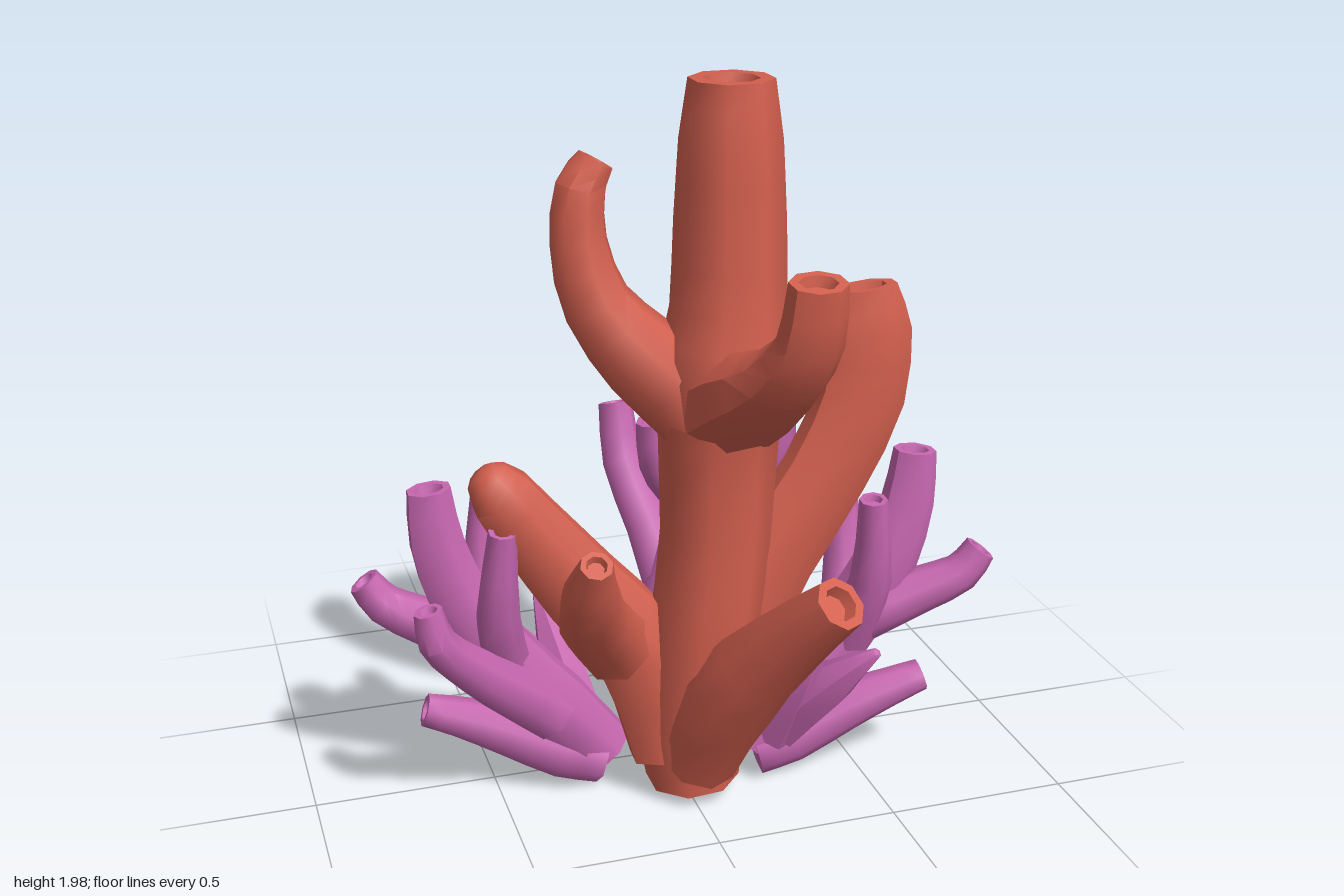
import * as THREE from 'three';
import { toCreasedNormals } from 'three/addons/utils/BufferGeometryUtils.js';

const mat = (color) => new THREE.MeshStandardMaterial({ color });
const red = mat(0xd25f4e), purple = mat(0xc767b0), green = mat(0x5a796d);

// Tapered, curved tube through points [x, y, z, radius].
// side: width factor across the bend; hollow: sunken pit in the tip.
function branch(name, pts, material, { side = 1, sides = 8, hollow = true, steps = 2 } = {}) {
  const curve = new THREE.CatmullRomCurve3(pts.map(([x, y, z]) => new THREE.Vector3(x, y, z)));
  const n = (pts.length - 1) * steps;
  const first = curve.getPoint(0), last = curve.getPoint(1);
  const across = new THREE.Vector3(first.z - last.z, 0, last.x - first.x);
  if (across.length() < 0.13) across.set(0, 0, 1);
  across.normalize();

  // Rings: closed base, body, then the tip
  const rings = [];
  for (let i = 0; i <= n; i++) {
    const k = Math.min(Math.floor(i / steps), pts.length - 2);
    rings.push({
      c: curve.getPoint(i / n), t: curve.getTangent(i / n),
      r: THREE.MathUtils.lerp(pts[k][3], pts[k + 1][3], i / steps - k),
    });
  }
  const end = rings[n];
  const tip = (r, push) => rings.push({ c: end.c.clone().addScaledVector(end.t, push), t: end.t, r });
  if (hollow) {
    tip(end.r * 0.66, 0);
    tip(end.r * 0.52, -end.r * 0.45);
    tip(0, -end.r * 0.45);
  } else {
    tip(end.r * 0.6, end.r * 0.35);
    tip(0, end.r * 0.45);
  }
  rings.unshift({ ...rings[0], r: 0 });

  const pos = [], index = [];
  for (const { c, t, r } of rings) {
    const v = across.clone().addScaledVector(t, -across.dot(t)).normalize();
    const u = v.clone().cross(t);
    for (let j = 0; j < sides; j++) {
      const a = ((j + 0.5) / sides) * Math.PI * 2;
      const p = c.clone().addScaledVector(u, r * Math.cos(a)).addScaledVector(v, r * side * Math.sin(a));
      pos.push(p.x, p.y, p.z);
    }
  }
  for (let i = 0; i < rings.length - 1; i++) {
    for (let j = 0; j < sides; j++) {
      const a = i * sides + j, b = i * sides + ((j + 1) % sides);
      if (rings[i].r > 0) index.push(a, b, b + sides);
      if (rings[i + 1].r > 0) index.push(a, b + sides, a + sides);
    }
  }
  const g = new THREE.BufferGeometry();
  g.setAttribute('position', new THREE.Float32BufferAttribute(pos, 3));
  g.setIndex(index);
  const mesh = new THREE.Mesh(toCreasedNormals(g, 0.85), material);
  mesh.name = name;
  return mesh;
}

// Tall red coral with its arms
function redCoral() {
  const g = new THREE.Group();
  g.name = 'redCoral';
  g.add(
    branch('trunk', [[0.02, 0.06, 0.2, 0.13], [0.01, 0.22, 0.2, 0.145], [0.04, 0.5, 0.23, 0.15],
      [0.07, 0.8, 0.23, 0.147], [0.075, 1.08, 0.23, 0.158], [0.085, 1.25, 0.24, 0.178],
      [0.095, 1.42, 0.24, 0.15], [0.1, 1.65, 0.23, 0.142], [0.1, 1.85, 0.23, 0.13], [0.1, 2, 0.23, 0.108]], red),
    branch('upperRightArm', [[0.02, 1.17, 0.22, 0.13], [-0.12, 1.3, 0.2, 0.115], [-0.23, 1.44, 0.17, 0.09],
      [-0.27, 1.6, 0.15, 0.075], [-0.26, 1.73, 0.14, 0.068], [-0.22, 1.8, 0.14, 0.05]], red),
    branch('upperFrontArm', [[0.1, 1.18, 0.3, 0.13], [0.11, 1.25, 0.42, 0.12], [0.13, 1.33, 0.555, 0.09],
      [0.155, 1.45, 0.655, 0.07], [0.16, 1.605, 0.685, 0.06]], red, { side: 1.25 }),
    branch('upperBackArm', [[0.11, 1.18, 0.17, 0.14], [0.14, 1.29, 0.04, 0.105], [0.19, 1.39, -0.05, 0.085],
      [0.23, 1.52, -0.115, 0.068], [0.24, 1.63, -0.135, 0.055]], red),
    branch('lowerFrontArm', [[0.02, 0.14, 0.25, 0.11], [0.07, 0.38, 0.36, 0.13], [0.17, 0.61, 0.53, 0.098],
      [0.25, 0.77, 0.67, 0.072]], red),
    branch('lowerLeftArm', [[0.06, 0.38, 0.23, 0.14], [0.23, 0.7, 0.22, 0.13], [0.38, 0.93, 0.22, 0.125],
      [0.475, 1.14, 0.22, 0.128], [0.49, 1.32, 0.22, 0.122], [0.48, 1.44, 0.22, 0.085]], red, { side: 0.6 }),
    branch('lowerRightArm', [[-0.04, 0.16, 0.19, 0.12], [-0.12, 0.45, 0.18, 0.135], [-0.28, 0.66, 0.165, 0.12],
      [-0.42, 0.85, 0.165, 0.1], [-0.49, 0.95, 0.165, 0.088], [-0.525, 1, 0.165, 0.062]], red,
    { side: 0.85, hollow: false }),
    branch('lowerRightTwig', [[-0.2, 0.5, 0.2, 0.11], [-0.29, 0.64, 0.33, 0.095], [-0.33, 0.77, 0.45, 0.075],
      [-0.335, 0.89, 0.53, 0.042]], red),
  );
  return g;
}

// Small purple coral, used on both sides
function sideCoral(name) {
  const g = new THREE.Group();
  g.name = name;
  g.add(
    branch('stem', [[0.2, 0.11, 0.17, 0.09], [0.34, 0.27, 0.17, 0.105], [0.49, 0.46, 0.17, 0.095],
      [0.59, 0.63, 0.18, 0.088], [0.645, 0.8, 0.18, 0.075], [0.66, 0.95, 0.18, 0.06]], purple, { side: 0.85 }),
    branch('outerArm', [[0.52, 0.48, 0.19, 0.08], [0.68, 0.55, 0.23, 0.065], [0.78, 0.6, 0.26, 0.055],
      [0.83, 0.67, 0.27, 0.045]], purple),
    branch('backArm', [[0.36, 0.27, 0.15, 0.085], [0.5, 0.4, 0.08, 0.075], [0.62, 0.52, 0.02, 0.06],
      [0.69, 0.61, -0.02, 0.05], [0.71, 0.7, -0.02, 0.038]], purple),
    branch('innerBackArm', [[0.48, 0.44, 0.15, 0.07], [0.51, 0.62, 0.07, 0.058], [0.5, 0.87, 0.03, 0.038]], purple),
    branch('innerFrontArm', [[0.48, 0.42, 0.19, 0.07], [0.505, 0.62, 0.27, 0.058], [0.49, 0.87, 0.3, 0.038]], purple),
    branch('lowArm', [[0.21, 0.1, 0.17, 0.085], [0.32, 0.13, 0.18, 0.085], [0.47, 0.2, 0.2, 0.072],
      [0.6, 0.25, 0.22, 0.055], [0.69, 0.28, 0.23, 0.045]], purple),
    branch('tallSpike', [[0.26, 0.16, 0.19, 0.08], [0.3, 0.36, 0.28, 0.065], [0.34, 0.53, 0.35, 0.015]],
      purple, { sides: 6, hollow: false }),
    branch('lowSpike', [[0.28, 0.18, 0.2, 0.08], [0.38, 0.35, 0.32, 0.065], [0.47, 0.47, 0.41, 0.015]],
      purple, { sides: 6, hollow: false }),
  );
  return g;
}

// Larger purple coral behind the trunk
function backCoral() {
  const g = new THREE.Group();
  g.name = 'backCoral';
  g.add(
    branch('stem', [[0.04, 0.03, -0.09, 0.07], [0.05, 0.16, -0.1, 0.13], [0.1, 0.34, -0.16, 0.135],
      [0.18, 0.56, -0.24, 0.125], [0.26, 0.78, -0.31, 0.12], [0.295, 1, -0.335, 0.1],
      [0.3, 1.21, -0.34, 0.075]], purple),
    branch('outerArm', [[0.24, 0.7, -0.32, 0.1], [0.32, 0.73, -0.46, 0.09], [0.37, 0.79, -0.54, 0.075],
      [0.39, 0.89, -0.59, 0.06]], purple),
    branch('leftArm', [[0.25, 0.68, -0.29, 0.09], [0.35, 0.78, -0.2, 0.065], [0.39, 0.9, -0.17, 0.055],
      [0.39, 1.03, -0.16, 0.045]], purple),
    branch('rightArm', [[0.22, 0.66, -0.28, 0.08], [0.11, 0.74, -0.25, 0.065], [0.05, 0.83, -0.23, 0.055],
      [0.03, 0.96, -0.22, 0.045]], purple),
    branch('longBackArm', [[0.11, 0.38, -0.19, 0.09], [0.06, 0.58, -0.35, 0.068], [0.02, 0.74, -0.48, 0.062],
      [0.01, 0.91, -0.53, 0.05]], purple),
    branch('lowArm', [[0.05, 0.14, -0.1, 0.12], [0.1, 0.24, -0.28, 0.09], [0.14, 0.32, -0.42, 0.065],
      [0.17, 0.39, -0.51, 0.03]], purple, { hollow: false }),
    branch('tallSpike', [[0.08, 0.18, -0.1, 0.11], [0.21, 0.37, -0.1, 0.08], [0.3, 0.52, -0.07, 0.015]],
      purple, { sides: 6, hollow: false }),
    branch('lowSpike', [[0.08, 0.16, -0.1, 0.11], [0.26, 0.29, -0.04, 0.08], [0.39, 0.41, -0.01, 0.015]],
      purple, { sides: 6, hollow: false }),
  );
  return g;
}

export function createModel() {
  const model = new THREE.Group();
  model.name = 'coralCluster';
  model.add(redCoral(), sideCoral('leftCoral'), backCoral());

  // The right coral is the left one turned half way round
  const right = sideCoral('rightCoral');
  right.rotation.y = Math.PI;
  right.position.z = 0.25;
  model.add(right);

  // Flat green leaf lying at the back
  model.add(branch('leaf', [[0.14, 0.11, -0.2, 0.02], [0.14, 0.095, -0.32, 0.052], [0.14, 0.085, -0.48, 0.054],
    [0.125, 0.07, -0.66, 0.043], [0.12, 0.06, -0.745, 0.01]], green,
  { side: 2.6, sides: 6, hollow: false, steps: 1 }));
  return model;
}
